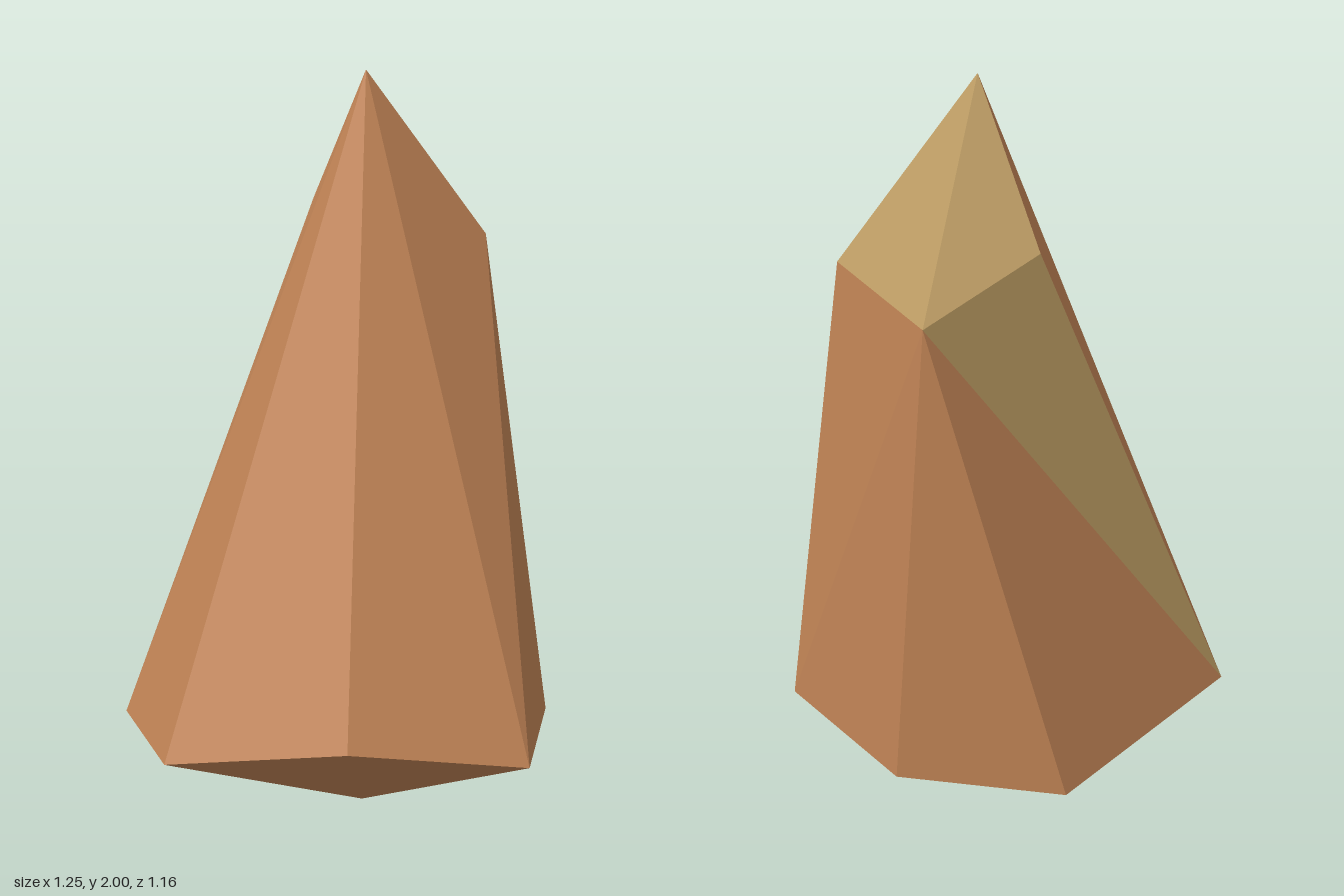
import * as THREE from 'three';

// Corners of the faceted stone
const P = {
  foot: [0.02, 0, 0.01],
  a: [-0.63, 0.2, 0.265], b: [-0.21, 0.26, 0.577], c: [0.31, 0.39, 0.5], d: [0.62, 0.305, 0.15],
  e: [0.34, 0.18, -0.478], f: [-0.113, 0.185, -0.58], g: [-0.514, 0.18, -0.37],
  tip: [-0.093, 2, -0.173], left: [-0.33, 1.65, -0.26], right: [0.144, 1.56, -0.415], back: [-0.21, 1.54, -0.543],
};

// Flat-shaded mesh from named corner triples, counter-clockwise from outside
function facets(name, faces, material) {
  const geometry = new THREE.BufferGeometry();
  const points = faces.flatMap((face) => face.split(' ').flatMap((key) => P[key]));
  geometry.setAttribute('position', new THREE.Float32BufferAttribute(points, 3));
  geometry.computeVertexNormals();
  const mesh = new THREE.Mesh(geometry, material);
  mesh.name = name;
  return mesh;
}

export function createModel() {
  const brown = new THREE.MeshStandardMaterial({ name: 'brown stone', color: 0xc08355 });
  const gold = new THREE.MeshStandardMaterial({ name: 'golden cut', color: 0xb99961 });
  const group = new THREE.Group();
  group.name = 'stoneSpire';

  // Shallow pointed underside
  const ring = ['a', 'b', 'c', 'd', 'e', 'f', 'g'];
  const under = ring.map((key, i) => `foot ${ring[(i + 1) % ring.length]} ${key}`);
  group.add(facets('underside', under, brown));

  // Tapering sides
  group.add(facets('sides', [
    'a b tip', 'b c tip', 'c d tip', 'd right tip', 'd e right',
    'e back right', 'e f back', 'f g back', 'g a back', 'a tip left',
  ], brown));

  // Sloped cut behind the tip
  group.add(facets('goldenCut', ['left tip back', 'tip right back', 'a left back'], gold));
  return group;
}
